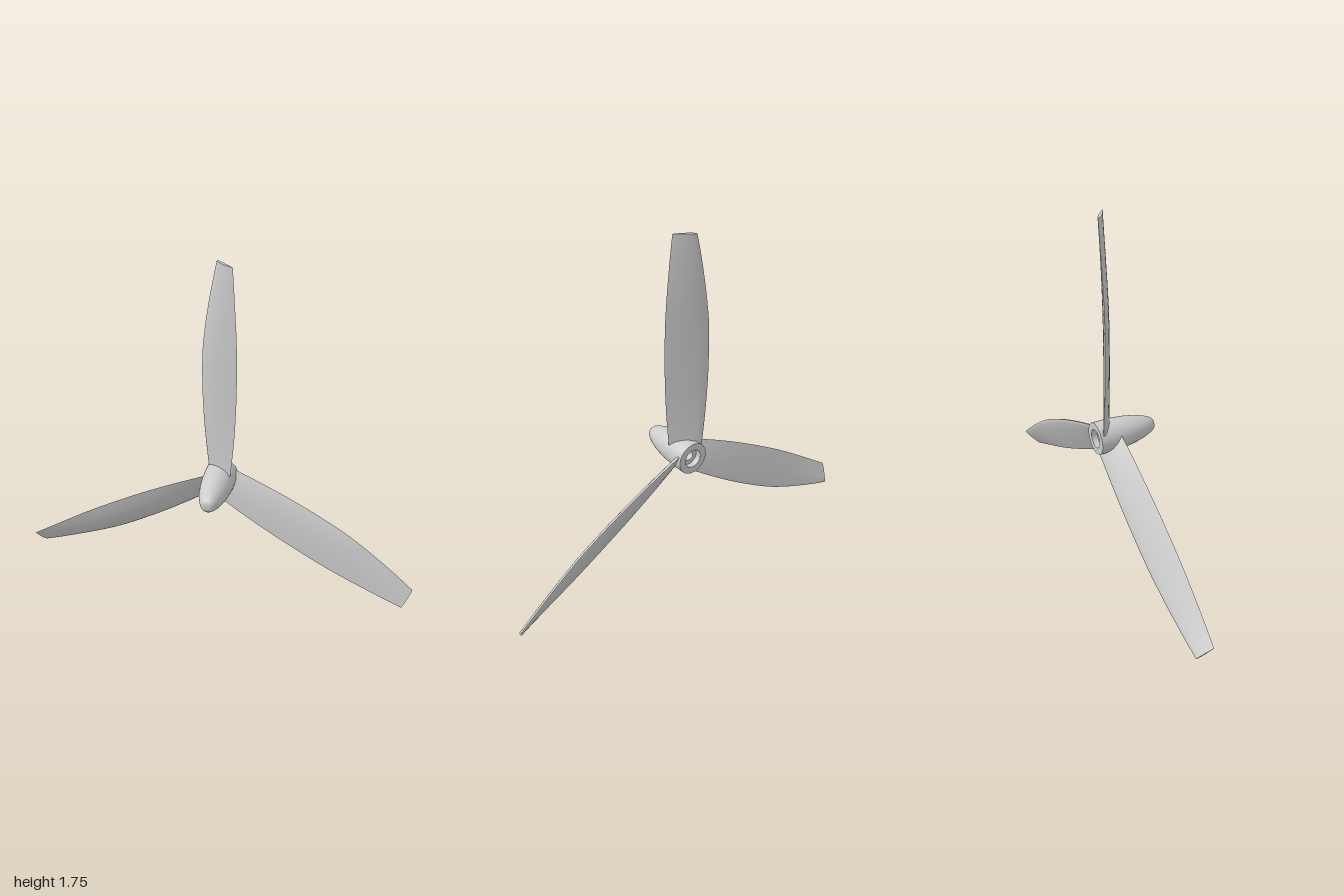
import * as THREE from 'three';
import { toCreasedNormals } from 'three/addons/utils/BufferGeometryUtils.js';

const HUB_Y = 0.617;
const material = new THREE.MeshStandardMaterial({ color: 0xcccccc, side: THREE.DoubleSide });

// Lofts an airfoil section from root to tip between two edge curves
function bladeGeometry() {
  // height above hub axis, leading edge x and z, trailing edge x and z
  const stations = [
    [0.03, -0.062, -0.142, 0.062, -0.051],
    [0.23, -0.082, -0.144, 0.079, -0.052],
    [0.43, -0.094, -0.145, 0.088, -0.054],
    [0.65, -0.095, -0.145, 0.089, -0.057],
    [0.80, -0.082, -0.144, 0.084, -0.061],
    [0.95, -0.060, -0.142, 0.074, -0.066],
    [1.06, -0.040, -0.140, 0.066, -0.071],
    [1.133, -0.025, -0.138, 0.060, -0.075],
  ];
  const edge = (ix, iz) => new THREE.CatmullRomCurve3(
    stations.map(s => new THREE.Vector3(s[ix], s[0], s[iz])), false, 'catmullrom', 0.5);
  const leading = edge(1, 2), trailing = edge(3, 4);

  const rows = 28, side = 12, loop = side * 2;
  const positions = [], indices = [];
  for (let i = 0; i <= rows; i++) {
    const a = leading.getPoint(i / rows), b = trailing.getPoint(i / rows);
    const chord = b.clone().sub(a);
    const normal = new THREE.Vector3(-chord.z, 0, chord.x);
    for (let k = 0; k < loop; k++) {
      const front = k <= side;
      const t = (1 - Math.cos(Math.PI * (front ? k : loop - k) / side)) / 2;
      const h = 2.6 * Math.sqrt(t) * (1 - t) * (front ? 0.1 : -0.045);
      const p = a.clone().addScaledVector(chord, t).addScaledVector(normal, h);
      positions.push(p.x, p.y, p.z);
    }
  }
  for (let i = 0; i < rows; i++) {
    for (let k = 0; k < loop; k++) {
      const a = i * loop + k, b = i * loop + (k + 1) % loop;
      indices.push(a, b, b + loop, a, b + loop, a + loop);
    }
  }
  // Flat tip
  const tip = rows * loop;
  for (let k = 1; k < side; k++) {
    const f = tip + k, g = tip + loop - k;
    const f2 = f + 1, g2 = tip + (loop - k - 1);
    indices.push(f, f2, g);
    if (k < side - 1) indices.push(f2, g2, g);
  }
  indices.push(tip, tip + 1, tip + loop - 1);
  const geometry = new THREE.BufferGeometry();
  geometry.setAttribute('position', new THREE.Float32BufferAttribute(positions, 3));
  geometry.setIndex(indices);
  return toCreasedNormals(geometry, 0.7);
}

// Spinner with a stepped shaft socket in its back
function hubGeometry() {
  const profile = [
    [0, -0.07], [0.024, -0.07], [0.024, -0.125], [0.046, -0.125], [0.046, -0.155],
    [0.08, -0.155], [0.08, -0.1], [0.0795, -0.06], [0.077, -0.03], [0.073, 0.01],
    [0.066, 0.05], [0.056, 0.09], [0.043, 0.125], [0.034, 0.143], [0.025, 0.152],
    [0.013, 0.155], [0, 0.155],
  ].map(([r, z]) => new THREE.Vector2(r, z));
  const geometry = new THREE.LatheGeometry(profile, 32);
  geometry.rotateX(Math.PI / 2);
  return toCreasedNormals(geometry, 0.7);
}

export function createModel() {
  const model = new THREE.Group();
  model.name = 'propeller';

  const hub = new THREE.Mesh(hubGeometry(), material);
  hub.name = 'spinnerHub';
  hub.position.y = HUB_Y;
  model.add(hub);

  // Three blades, evenly spaced about the hub axis
  const blade = bladeGeometry();
  ['bladeTop', 'bladeLowerRight', 'bladeLowerLeft'].forEach((name, i) => {
    const mesh = new THREE.Mesh(blade, material);
    mesh.name = name;
    mesh.position.y = HUB_Y;
    mesh.rotation.z = i * Math.PI * 2 / 3;
    model.add(mesh);
  });
  return model;
}
